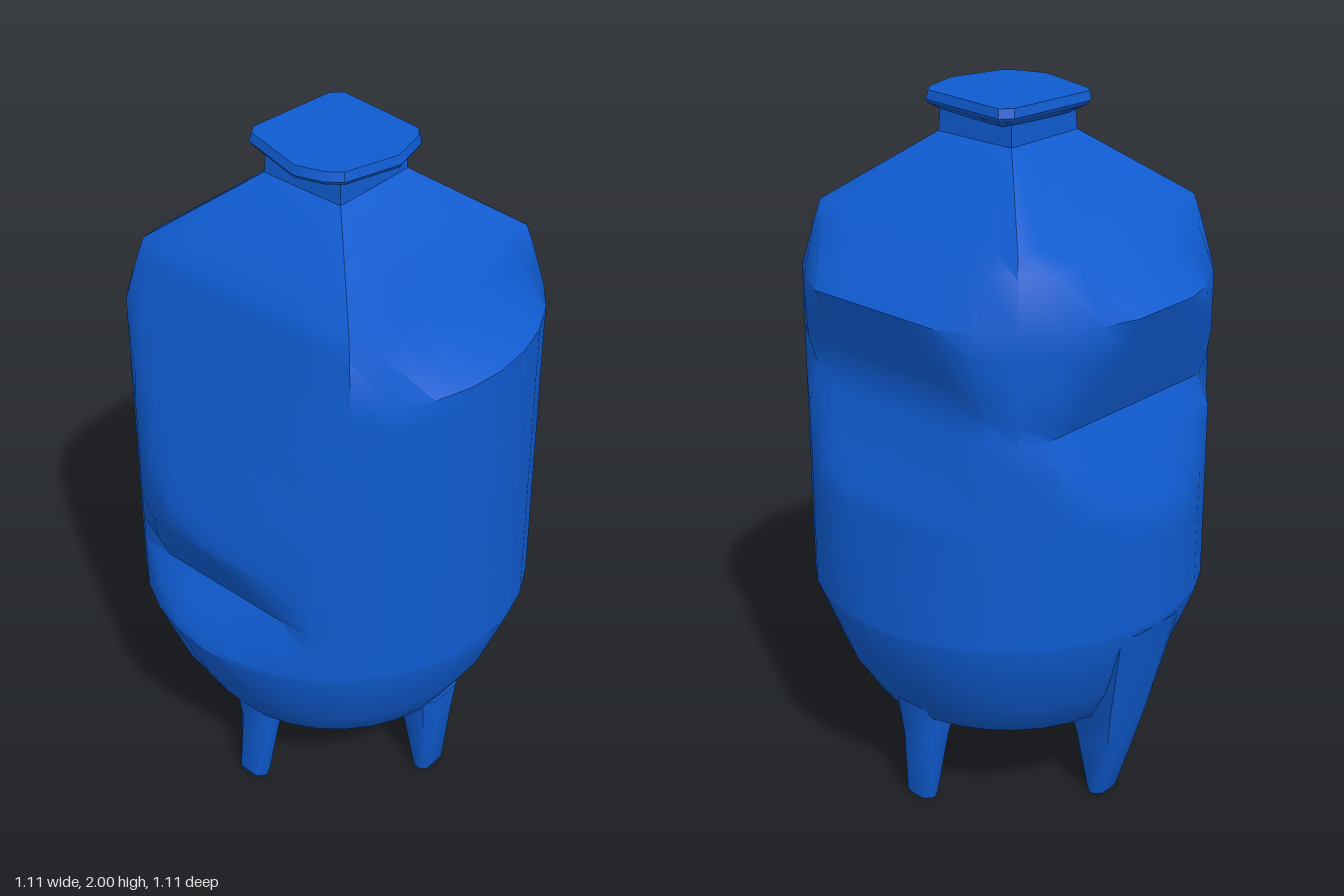
import * as THREE from 'three';
import { toCreasedNormals } from 'three/addons/utils/BufferGeometryUtils.js';

const blue = new THREE.MeshStandardMaterial({ color: 0x0f5bd0 });
blue.name = 'tankBlue';

// Linear interpolation through [y, value] pairs sorted by y
function sample(table, y) {
  if (y <= table[0][0]) return table[0][1];
  for (let i = 1; i < table.length; i++) {
    const [y0, v0] = table[i - 1], [y1, v1] = table[i];
    if (y <= y1) return v0 + (v1 - v0) * (y - y0) / (y1 - y0);
  }
  return table[table.length - 1][1];
}

function add(parent, name, geometry, crease) {
  const mesh = new THREE.Mesh(toCreasedNormals(geometry, crease), blue);
  mesh.name = name;
  parent.add(mesh);
  return mesh;
}

function lathe(profile) {
  return new THREE.LatheGeometry(profile.map(([r, y]) => new THREE.Vector2(r, y)), 32);
}

// Closed solid through rings of [x, y, z] points listed from bottom to top,
// each ring running anticlockwise from +z towards +x
function loft(rings) {
  const n = rings[0].length, pos = rings.flat(2), index = [];
  rings.slice(1).forEach((_, k) => {
    for (let i = 0; i < n; i++) {
      const a = k * n + i, b = k * n + (i + 1) % n;
      index.push(a, b, b + n, a, b + n, a + n);
    }
  });
  const top = (rings.length - 1) * n;
  for (let i = 1; i < n - 1; i++) {
    index.push(0, i + 1, i, top, top + i, top + i + 1);
  }
  const g = new THREE.BufferGeometry();
  g.setAttribute('position', new THREE.Float32BufferAttribute(pos, 3));
  g.setIndex(index);
  return g;
}

// How far each side reaches by height: round bowl, dented wall, square shoulder
const bowlSide = [[0.27, 0.385], [0.62, 0.556]];
const shoulder = [[1.71, 0.36], [1.89, 0.13]];
const rightLimit = [...bowlSide, [0.66, 0.54], [0.79, 0.465], [1.0, 0.555], [1.525, 0.41], ...shoulder];
const leftLimit = [...bowlSide, [1.0, 0.525], [1.06, 0.49], [1.28, 0.43], [1.525, 0.51], ...shoulder];
const backLimit = [[0.27, 0.4], [0.62, 0.556], [0.95, 0.55], [1.22, 0.425], [1.525, 0.545], ...shoulder];
const frontLimit = [[0.27, 0.41], [0.62, 0.556], [1.525, 0.556], [1.65, 0.385], ...shoulder];

function flattenSides(geometry) {
  const p = geometry.attributes.position;
  for (let i = 0; i < p.count; i++) {
    const x = p.getX(i), y = p.getY(i), z = p.getZ(i);
    p.setX(i, THREE.MathUtils.clamp(x, -sample(rightLimit, y), sample(leftLimit, y)));
    p.setZ(i, THREE.MathUtils.clamp(z, -sample(backLimit, y), sample(frontLimit, y)));
  }
  return geometry;
}

// Pull the bottom ring into a diamond whose corners meet the legs
function diamondBase(geometry) {
  const p = geometry.attributes.position;
  for (let i = 0; i < p.count; i++) {
    const sum = Math.abs(p.getX(i)) + Math.abs(p.getZ(i));
    if (p.getY(i) > 0.21 || sum < 0.01) continue;
    p.setX(i, p.getX(i) * 0.3 / sum);
    p.setZ(i, p.getZ(i) * 0.3 / sum);
  }
  return geometry;
}

export function createModel() {
  const tank = new THREE.Group();
  tank.name = 'tank';

  // Tapered bowl under the rim
  const bowl = [[0, 0.2], [0.3, 0.2], [0.4, 0.29], [0.47, 0.4], [0.556, 0.62], [0.556, 0.635]];
  add(tank, 'bowl', diamondBase(flattenSides(lathe(bowl))), 0.7);

  // Wall and sloping shoulder, turning from round to square
  const wall = [0.635, 0.66, 0.72, 0.79, 0.87, 0.95, 1.0, 1.06, 1.14, 1.22, 1.28, 1.36, 1.45, 1.525].map((y) => [0.556, y]);
  wall.push([0.52, 1.65], [0.5, 1.71], [0.184, 1.89]);
  add(tank, 'wallAndShoulder', flattenSides(lathe(wall)), 0.75);

  // Short square neck
  const neck = new THREE.CylinderGeometry(0.178, 0.184, 0.08, 4).rotateY(Math.PI / 4).translate(0, 1.915, 0);
  add(tank, 'neck', neck, 0.5);

  // Irregular lid with an undercut lip
  const lid = [[0.01, 0.205], [0.125, 0.175], [0.155, 0.15], [0.18, -0.13], [0.15, -0.158],
    [-0.12, -0.178], [-0.15, -0.16], [-0.205, 0.04], [-0.18, 0.12], [-0.15, 0.16]];
  const ring = (y, s) => lid.map(([x, z]) => [x * s, y, z * s]);
  add(tank, 'lid', loft([ring(1.942, 0.75), ring(1.965, 0.97), ring(1.975, 1), ring(2, 0.97)]), 0.6);

  // Four tapered legs, placed on the axes
  const legRing = (y, inner, outer, half) => [
    [half * 0.6, y, outer], [half, y, outer - 0.02], [half, y, inner + 0.02], [half * 0.6, y, inner],
    [-half * 0.6, y, inner], [-half, y, inner + 0.02], [-half, y, outer - 0.02], [-half * 0.6, y, outer]];
  const plainTop = (outer) => [legRing(0.2, 0.3, outer - 0.01, 0.06), legRing(0.32, 0.28, outer, 0.08)];
  const legTops = {
    frontLeg: plainTop(0.425),
    leftLeg: plainTop(0.41),
    // The back leg runs straight up to the rim
    backLeg: [legRing(0.2, 0.3, 0.455, 0.06), legRing(0.3, 0.28, 0.48, 0.085), legRing(0.61, 0.4, 0.55, 0.13)],
    rightLeg: plainTop(0.385),
  };
  Object.entries(legTops).forEach(([name, top], i) => {
    const foot = [legRing(0, 0.335, 0.39, 0.042), legRing(0.02, 0.33, 0.4, 0.045)];
    add(tank, name, loft([...foot, ...top]), 0.9).rotation.y = i * Math.PI / 2;
  });

  return tank;
}
